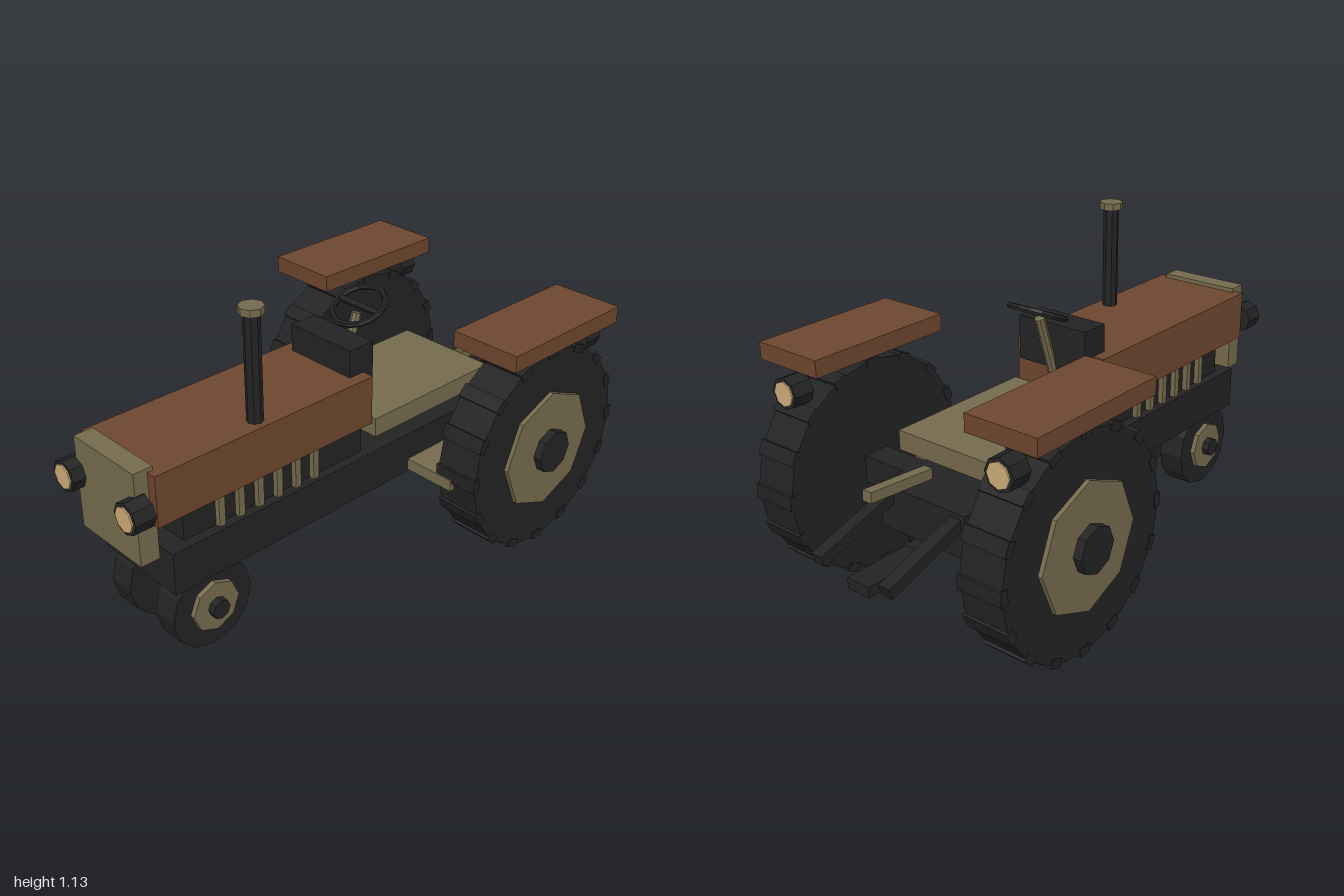
import * as THREE from 'three';

const mat = (name, color) => new THREE.MeshStandardMaterial({ name, color, flatShading: true });

export function createModel() {
  const tractor = new THREE.Group();
  tractor.name = 'tractor';
  const brown = mat('rust brown paint', 0x6d462e);
  const olive = mat('olive paint', 0x756a4d);
  const black = mat('black', 0x232323);
  const glass = mat('lamp glass', 0xcdac78);

  const add = (name, geo, material, x, y, z, parent = tractor) => {
    const m = new THREE.Mesh(geo, material);
    m.name = name;
    m.position.set(x, y, z);
    parent.add(m);
    return m;
  };
  // Box given by its limits on each axis
  const box = (name, material, [x0, x1], [y0, y1], [z0, z1]) =>
    add(name, new THREE.BoxGeometry(x1 - x0, y1 - y0, z1 - z0), material,
      (x0 + x1) / 2, (y0 + y1) / 2, (z0 + z1) / 2);
  const cylX = (r, len, sides) => new THREE.CylinderGeometry(r, r, len, sides).rotateZ(Math.PI / 2);
  const cylZ = (r, len, sides) => new THREE.CylinderGeometry(r, r, len, sides).rotateX(Math.PI / 2);

  // Body
  box('chassis', black, [-0.185, 0.185], [0.285, 0.44], [-0.69, 0.855]);
  box('engine', black, [-0.15, 0.15], [0.44, 0.56], [0.02, 0.785]);
  box('hood', brown, [-0.187, 0.187], [0.56, 0.74], [0.005, 0.9]);
  box('grille', olive, [-0.153, 0.153], [0.425, 0.755], [0.88, 0.95]);
  box('deck', olive, [-0.2, 0.2], [0.51, 0.58], [0, -0.58].reverse());
  box('dashboard', black, [-0.143, 0.143], [0.68, 0.84], [-0.04, 0.068]);
  box('rearAxle', black, [-0.37, 0.37], [0.34, 0.44], [-0.587, -0.487]);
  box('drawbar', black, [-0.047, 0.047], [0.235, 0.272], [-0.97, -0.72]);

  // Exhaust stack
  add('exhaustPipe', new THREE.CylinderGeometry(0.028, 0.028, 0.4, 8), black, 0.137, 0.92, 0.475);
  add('exhaustCap', new THREE.CylinderGeometry(0.042, 0.042, 0.025, 8), olive, 0.137, 1.122, 0.475);

  // Steering column and tilted wheel
  add('steeringColumn', new THREE.CylinderGeometry(0.018, 0.018, 0.31, 8), olive, 0, 0.73, -0.055)
    .rotation.x = -0.32;
  const steering = new THREE.Group();
  steering.name = 'steeringWheel';
  steering.position.set(0, 0.9, -0.113);
  steering.rotation.x = 0.41;
  tractor.add(steering);
  add('steeringRim', new THREE.TorusGeometry(0.095, 0.011, 6, 16).rotateX(Math.PI / 2), black, 0, 0, 0, steering);
  add('steeringSpoke', new THREE.BoxGeometry(0.19, 0.012, 0.02), black, 0, 0, 0, steering);

  // Rear top link, rising slightly backwards
  add('topLink', new THREE.BoxGeometry(0.035, 0.036, 0.26), olive, 0, 0.53, -0.782).rotation.x = 0.08;

  // Front axle
  add('frontAxle', cylX(0.035, 0.42, 8), black, 0, 0.16, 0.7);

  const lamp = (name, x, y, z, dir) => {
    const g = new THREE.Group();
    g.name = name;
    g.position.set(x, y, z);
    tractor.add(g);
    add('lampHousing', cylZ(0.055, 0.075, 8), black, 0, 0, 0, g);
    add('lampLens', cylZ(0.043, 0.008, 8), glass, 0, 0, dir * 0.0385, g);
  };

  for (const s of [-1, 1]) {
    const side = s > 0 ? 'left' : 'right';
    const span = (a, b) => (s > 0 ? [a, b] : [-b, -a]);

    box(side + 'Fender', brown, span(0.31, 0.577), [0.805, 0.865], [-0.81, -0.255]);
    box(side + 'Step', olive, span(0.23, 0.43), [0.335, 0.378], [-0.355, -0.135]);

    // Engine ribs
    for (let i = 0; i < 6; i++) {
      const z = 0.247 + i * 0.08;
      box(side + 'EngineRib', olive, span(0.15, 0.17), [0.44, 0.56], [z - 0.012, z + 0.012]);
    }

    // Lower lift arm, sloping down to the rear
    add(side + 'LiftArm', new THREE.BoxGeometry(0.045, 0.04, 0.37), black, s * 0.147, 0.362, -0.818)
      .rotation.x = -0.3;

    lamp(side + 'Headlight', s * 0.16, 0.625, 0.958, 1);
    lamp(side + 'RearLight', s * 0.452, 0.722, -0.79, -1);

    // Rear wheel with tread lugs
    const rear = new THREE.Group();
    rear.name = side + 'RearWheel';
    rear.position.set(s * 0.444, 0.39, -0.527);
    tractor.add(rear);
    add('rearTyre', cylX(0.382, 0.162, 16), black, 0, 0, 0, rear);
    add('rearRim', cylX(0.224, 0.02, 8), olive, s * 0.087, 0, 0, rear);
    add('rearHub', cylX(0.081, 0.05, 8), black, s * 0.102, 0, 0, rear);
    for (let i = 0; i < 16; i++) {
      const a = (i * Math.PI) / 8;
      const lug = add('treadLug', new THREE.BoxGeometry(0.168, 0.03, 0.05), black,
        0, Math.cos(a) * 0.372, Math.sin(a) * 0.372, rear);
      lug.rotation.x = a;
    }

    // Front wheel
    const front = new THREE.Group();
    front.name = side + 'FrontWheel';
    front.position.set(s * 0.118, 0.16, 0.7);
    tractor.add(front);
    add('frontTyre', cylX(0.159, 0.096, 12), black, 0, 0, 0, front);
    add('frontRim', cylX(0.092, 0.02, 8), olive, s * 0.056, 0, 0, front);
  }
  return tractor;
}
